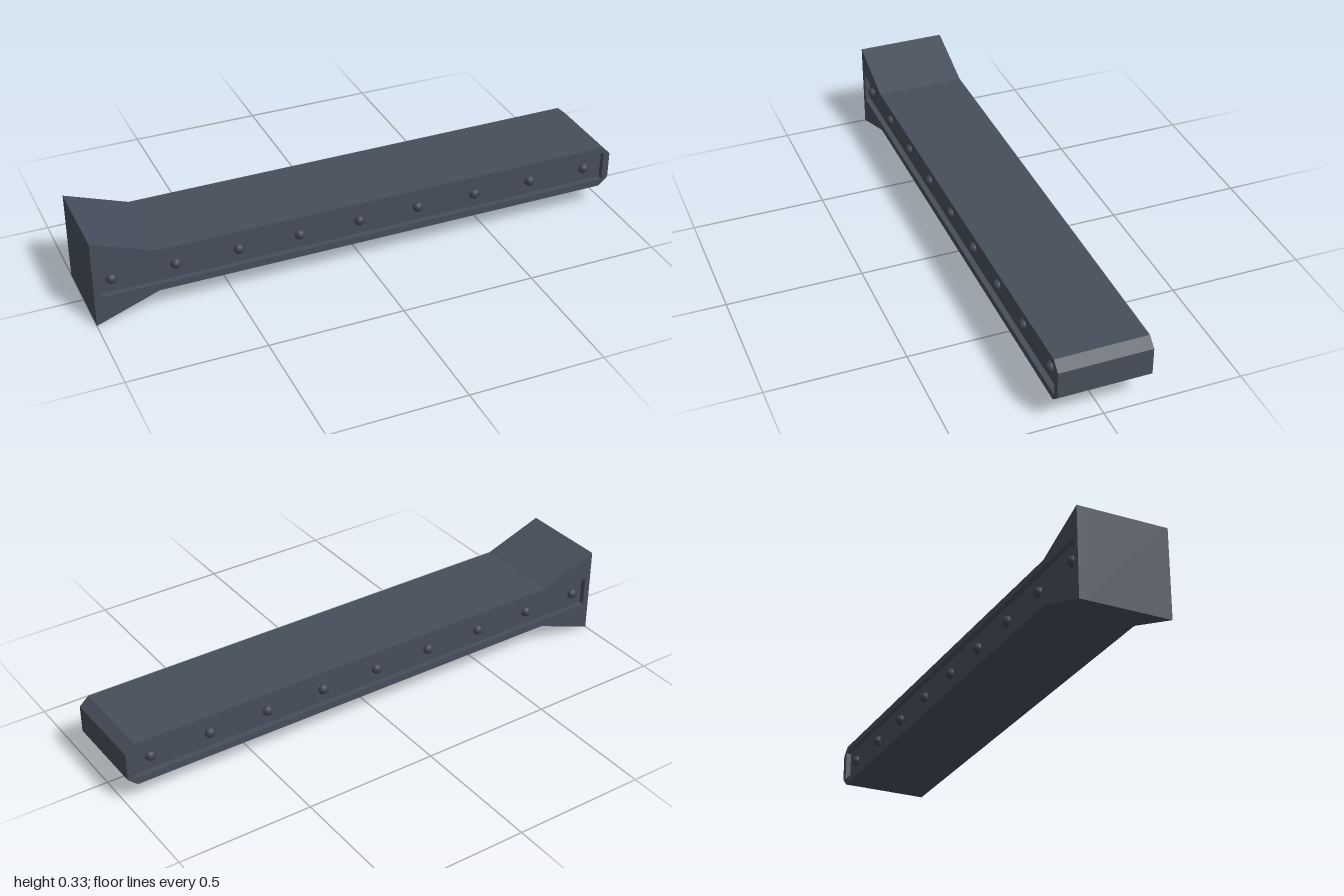
import * as THREE from 'three';

const steel = new THREE.MeshStandardMaterial({ color: 0x464e5b });
steel.name = 'blue grey steel';
const rivetSteel = new THREE.MeshStandardMaterial({ color: 0x3e4550 });
rivetSteel.name = 'dark rivet steel';

const HALF = 0.167;   // half the beam's thickness
const RECESS = 0.02;  // depth of the side channels
const MID = 0.168;    // height of the beam's axis

const path = (points, Type) => new Type(points.map(([x, y]) => new THREE.Vector2(x, y)));

// Side profile: flared foot, straight shaft, chamfered tip
const profile = () => path([
  [-1, 0], [-0.77, 0.085], [0.965, 0.085], [1, 0.117],
  [1, 0.219], [0.965, 0.25], [-0.77, 0.25], [-1, 0.333],
], THREE.Shape);

function slab(shape, z, depth, name) {
  const geometry = new THREE.ExtrudeGeometry(shape, { depth, bevelEnabled: false });
  geometry.translate(0, 0, z);
  const mesh = new THREE.Mesh(geometry, steel);
  mesh.name = name;
  return mesh;
}

export function createModel() {
  const model = new THREE.Group();
  model.name = 'rivetedBeam';

  const core = HALF - RECESS;
  model.add(slab(profile(), -core, 2 * core, 'beamCore'));

  // Outer layer with the long channel cut out
  const frame = profile();
  frame.holes.push(path([[-0.976, 0.112], [-0.976, 0.226], [0.975, 0.226], [0.975, 0.112]], THREE.Path));
  model.add(slab(frame, core, RECESS, 'frontFrame'));
  model.add(slab(frame, -HALF, RECESS, 'backFrame'));

  // Domed rivets along both channels
  const dome = new THREE.SphereGeometry(0.02, 16, 8, 0, Math.PI * 2, 0, Math.PI / 2);
  dome.rotateX(Math.PI / 2);
  for (const side of [1, -1]) {
    const row = new THREE.Group();
    row.name = side > 0 ? 'frontRivets' : 'backRivets';
    for (let i = 0; i < 9; i++) {
      const rivet = new THREE.Mesh(dome, rivetSteel);
      rivet.name = 'rivet';
      rivet.position.set(-0.93 + i * 0.229, MID, side * core);
      if (side < 0) rivet.rotation.y = Math.PI;
      row.add(rivet);
    }
    model.add(row);
  }
  return model;
}
